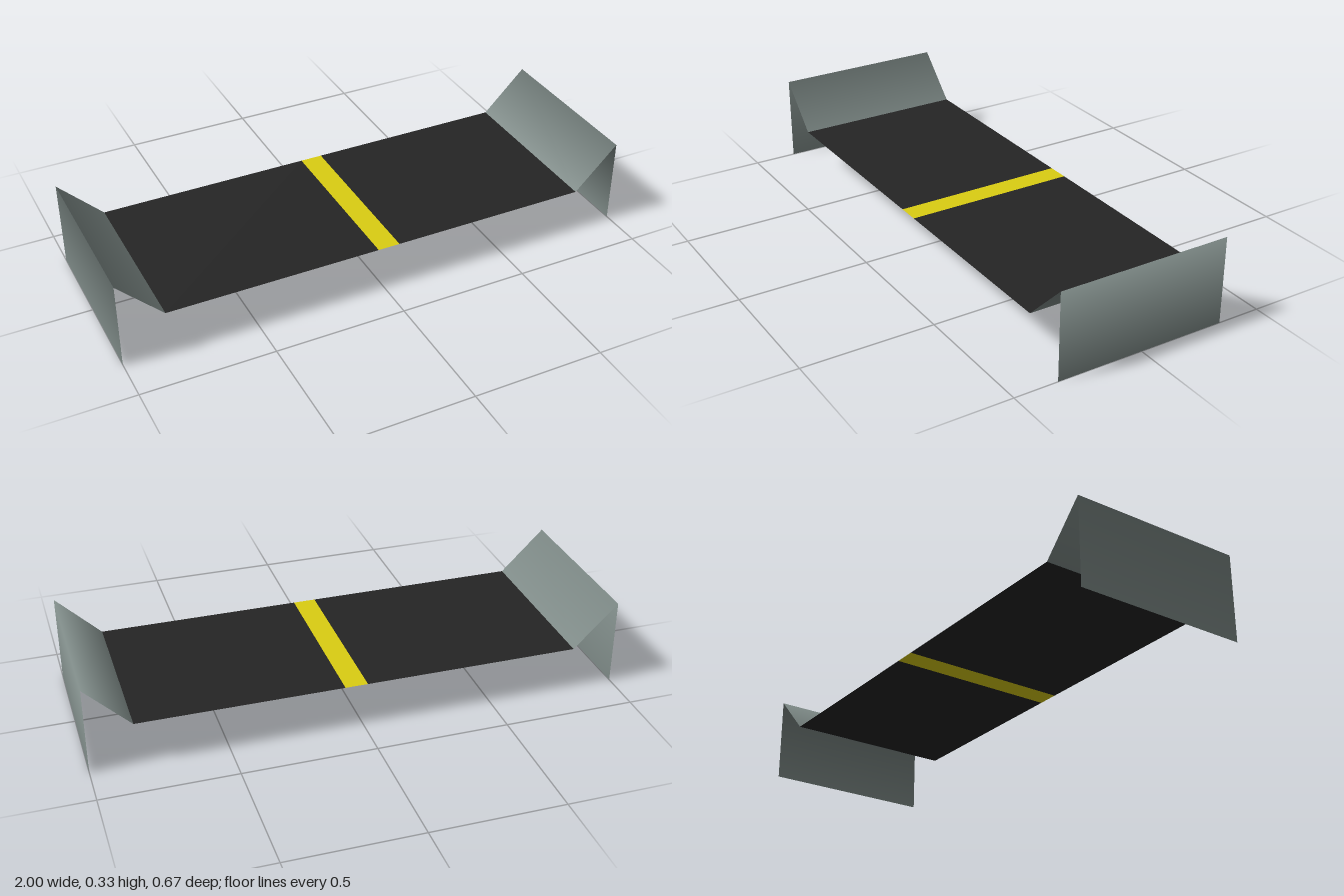
import * as THREE from 'three';

const HALF_DEPTH = 0.333;
const DECK_Y = 0.167;
const DECK_X = 0.833;
const TOP_Y = 0.333;

// Thin sheet: segments between [x, y] profile points, stretched along z.
// Each segment faces to the left of its direction; shared points are smooth.
function sheet(name, material, points, segments) {
  const positions = [], normals = [], index = [];
  const sums = points.map(() => new THREE.Vector2());
  for (const [a, b] of segments) {
    const n = new THREE.Vector2(points[a][1] - points[b][1], points[b][0] - points[a][0]).normalize();
    sums[a].add(n);
    sums[b].add(n);
    index.push(2 * a, 2 * b, 2 * b + 1, 2 * a, 2 * b + 1, 2 * a + 1);
  }
  points.forEach(([x, y], i) => {
    const n = sums[i].normalize();
    for (const z of [HALF_DEPTH, -HALF_DEPTH]) {
      positions.push(x, y, z);
      normals.push(n.x, n.y, 0);
    }
  });
  const geometry = new THREE.BufferGeometry();
  geometry.setAttribute('position', new THREE.Float32BufferAttribute(positions, 3));
  geometry.setAttribute('normal', new THREE.Float32BufferAttribute(normals, 3));
  geometry.setIndex(index);
  const mesh = new THREE.Mesh(geometry, material);
  mesh.name = name;
  return mesh;
}

function flatMaterial(name, color) {
  const material = new THREE.MeshStandardMaterial({ color, side: THREE.DoubleSide });
  material.name = name;
  return material;
}

export function createModel() {
  const group = new THREE.Group();
  group.name = 'conveyorBelt';
  const belt = flatMaterial('beltBlack', 0x252525);
  const yellow = flatMaterial('stripeYellow', 0xdacd12);
  const steel = flatMaterial('steelGrey', 0x7d8986);

  // Belt deck in three strips, the middle one being the yellow stripe
  const edges = [-DECK_X, -0.018, 0.067, DECK_X];
  ['beltLeftOfStripe', 'stripe', 'beltRightOfStripe'].forEach((name, i) => {
    group.add(sheet(name, i === 1 ? yellow : belt,
      [[edges[i], DECK_Y], [edges[i + 1], DECK_Y]], [[0, 1]]));
  });

  // End pieces: a sloped guard rising from the deck and an upright end panel
  for (const side of [1, -1]) {
    const profile = [[side * DECK_X, DECK_Y], [side, TOP_Y], [side, 0]];
    const slope = side > 0 ? [0, 1] : [1, 0];
    group.add(sheet(side > 0 ? 'leftEndGuard' : 'rightEndGuard', steel, profile, [slope, [1, 2]]));
  }
  return group;
}
